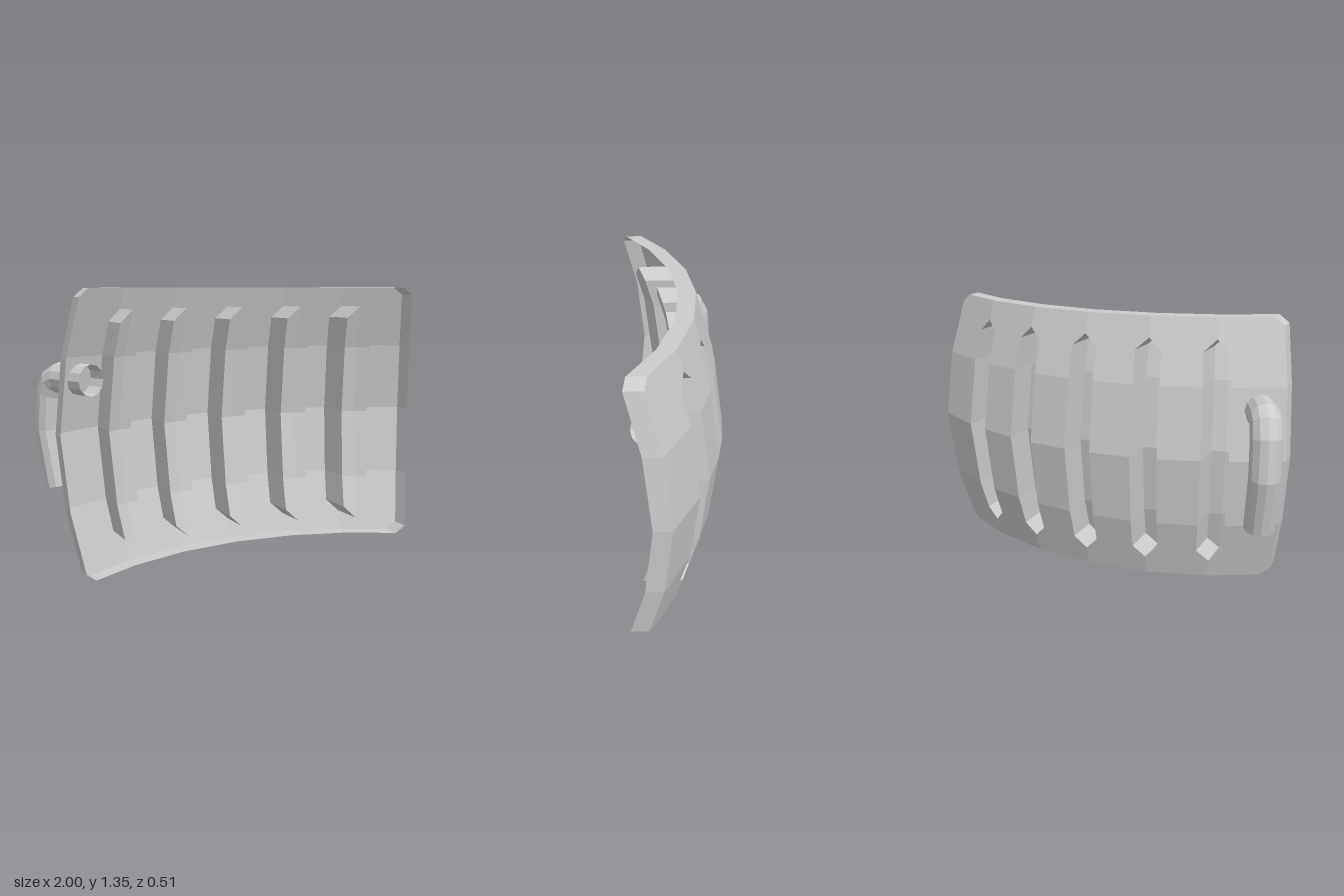
import * as THREE from 'three';

const RADIUS = 1.62, CENTRE_X = 0.013, CENTRE_Z = 1.52; // arc of the panel seen from above
const STEP = THREE.MathUtils.degToRad(11.3);            // angle of one facet column
const RIM = 0.087, RIB_DEPTH = 0.177;                   // forward depth of rim and ribs
const HALF_H = 0.675, RIB_W = 0.2;

// Outward bulge by height (piecewise linear)
function bulge(v) {
  const a = Math.abs(v);
  return a < 0.355 ? 0.143 - 0.046 * a / 0.355 : 0.097 * (HALF_H - a) / (HALF_H - 0.355);
}

// Point on the panel sheet: u counts facet columns, v is height from the middle
function panelPoint([u, v], depth) {
  const i = Math.min(Math.floor(u), 2), f = u - i, r = RADIUS + bulge(v);
  const mix = (fn) => fn(i * STEP) * (1 - f) + fn((i + 1) * STEP) * f;
  return [CENTRE_X + r * mix(Math.sin), v + HALF_H, CENTRE_Z - r * mix(Math.cos) + depth];
}

const nearestRib = (u) => Math.max(-2, Math.min(2, Math.round(u)));

// 0 = cut-off corner, 1 = plain sheet, 2 = embossed rib with pointed ends
function kind(u, v) {
  const au = Math.abs(u), av = Math.abs(v), du = Math.abs(u - nearestRib(u));
  if (au > 2.85 && av > 0.635 && (au - 2.85) / 0.15 + (av - 0.635) / 0.04 > 1) return 0;
  return du < RIB_W && av < 0.575 - 0.06 * du / RIB_W ? 2 : 1;
}

function meshFrom(positions, name) {
  const geometry = new THREE.BufferGeometry();
  geometry.setAttribute('position', new THREE.Float32BufferAttribute(positions, 3));
  geometry.computeVertexNormals();
  const mesh = new THREE.Mesh(geometry, new THREE.MeshStandardMaterial({
    color: 0xcccccc, flatShading: true, side: THREE.DoubleSide }));
  mesh.name = name;
  return mesh;
}

// Thin curved sheet, open in front, with a forward rim and ribs pressed deep into it
function createPanel() {
  const us = [-3, -2.85, 2.85, 3];
  for (let c = -2; c <= 2; c++) us.push(c - RIB_W, c, c + RIB_W);
  us.sort((a, b) => a - b);
  const vs = [-0.675, -0.635, -0.575, -0.515, -0.355, 0, 0.355, 0.515, 0.575, 0.635, 0.675];

  // Split each cell so the diagonals follow the rib points and cut corners
  const tris = [];
  for (let i = 0; i + 1 < us.length; i++) {
    for (let j = 0; j + 1 < vs.length; j++) {
      const a = [us[i], vs[j]], b = [us[i + 1], vs[j]], c = [us[i + 1], vs[j + 1]], d = [us[i], vs[j + 1]];
      const um = (us[i] + us[i + 1]) / 2, vm = (vs[j] + vs[j + 1]) / 2;
      const falling = (um - nearestRib(um)) * vm > 0;
      const pair = falling ? [[a, b, d], [b, c, d]] : [[a, b, c], [a, c, d]];
      for (const p of pair) {
        const k = kind((p[0][0] + p[1][0] + p[2][0]) / 3, (p[0][1] + p[1][1] + p[2][1]) / 3);
        if (k) tris.push({ p, k });
      }
    }
  }
  const key = (a, b) => [...a, ...b].map((n) => n.toFixed(3)).join();
  const edges = new Map();
  for (const { p, k } of tris) p.forEach((a, i) => edges.set(key(a, p[(i + 1) % 3]), k));

  const out = [];
  const tri = (a, b, c) => out.push(...a, ...b, ...c);
  const wall = (a, b, depth) => {
    const p = panelPoint(a, 0), q = panelPoint(b, 0), r = panelPoint(b, depth), s = panelPoint(a, depth);
    tri(p, q, r);
    tri(p, r, s);
  };
  for (const { p, k } of tris) {
    tri(...p.map((q) => panelPoint(q, k === 2 ? RIB_DEPTH : 0)));
    p.forEach((a, i) => {
      const b = p[(i + 1) % 3], other = edges.get(key(b, a));
      if (!other) wall(a, b, RIM);                            // outer rim
      else if (k === 2 && other === 1) wall(a, b, RIB_DEPTH); // rib side
    });
  }
  return meshFrom(out, 'ribbedPanel');
}

// Bent handle tube: its open end pierces the panel, the rest hangs down behind it
function createHandle() {
  const sides = 12, radius = 0.076;
  const outward = new THREE.Vector3(-0.407, 0, -0.913).normalize();
  const side = new THREE.Vector3(0, 1, 0).cross(outward);
  // Path as distance out from the open end, and height
  const path = [[0, 0.922], [0.215, 0.922], [0.262, 0.9], [0.292, 0.84], [0.306, 0.66], [0.24, 0.385]]
    .map(([a, y]) => new THREE.Vector3(-0.805, y, 0.1).addScaledVector(outward, a));
  const last = path.length - 1;
  const rings = path.map((p, i) => {
    const tangent = new THREE.Vector3();
    if (i > 0) tangent.add(p.clone().sub(path[i - 1]).normalize());
    if (i < last) tangent.add(path[i + 1].clone().sub(p).normalize());
    const up = tangent.normalize().clone().cross(side);
    return Array.from({ length: sides }, (_, s) => {
      const t = (s / sides) * Math.PI * 2;
      return p.clone().addScaledVector(side, radius * Math.cos(t))
        .addScaledVector(up, radius * Math.sin(t)).toArray();
    });
  });
  const out = [];
  for (let s = 0; s < sides; s++) {
    const n = (s + 1) % sides;
    for (let i = 0; i < last; i++) {
      const a = rings[i][s], b = rings[i][n], c = rings[i + 1][n], d = rings[i + 1][s];
      out.push(...a, ...b, ...c, ...a, ...c, ...d);
    }
    out.push(...path[last].toArray(), ...rings[last][s], ...rings[last][n]); // lower cap
  }
  return meshFrom(out, 'handle');
}

export function createModel() {
  const model = new THREE.Group();
  model.name = 'curvedPanelWithHandle';
  model.add(createPanel(), createHandle());
  return model;
}
